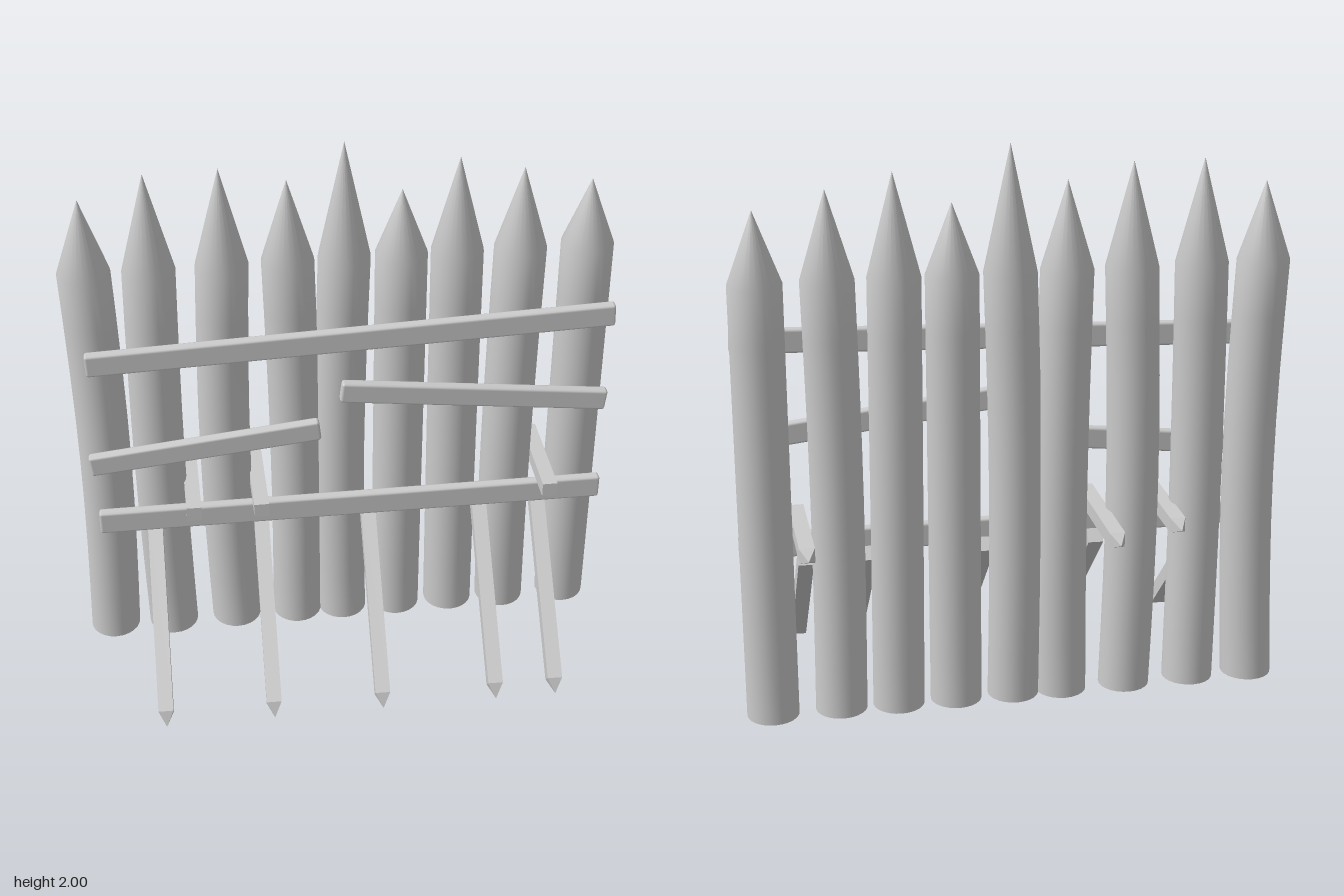
import * as THREE from 'three';
import { toCreasedNormals } from 'three/addons/utils/BufferGeometryUtils.js';
import { RoundedBoxGeometry } from 'three/addons/geometries/RoundedBoxGeometry.js';

const wood = new THREE.MeshStandardMaterial({ color: 0xcccccc });
const flatWood = new THREE.MeshStandardMaterial({ color: 0xcccccc, flatShading: true });
const lathePoints = (pairs) => pairs.map(([r, y]) => new THREE.Vector2(r, y));

// Sharpened log: straight at the shoulder, bowed slightly below it
function post({ x, z, tip, bow, lean, bowZ }) {
  const shoulder = 1.565, r = 0.092, profile = [[0, 0]];
  for (let i = 0; i <= 8; i++) profile.push([r, (shoulder * i) / 8]);
  profile.push([0, tip]);
  const geo = new THREE.LatheGeometry(lathePoints(profile), 24);
  const p = geo.attributes.position;
  for (let i = 0; i < p.count; i++) {
    const t = Math.min(p.getY(i) / shoulder, 1);
    const s = Math.sin(Math.PI * t);
    p.setX(i, p.getX(i) + bow * s + lean * (1 - t));
    p.setZ(i, p.getZ(i) + bowZ * s);
  }
  const mesh = new THREE.Mesh(toCreasedNormals(geo, 0.45), wood);
  mesh.position.set(x, 0, z);
  return mesh;
}

// Flat board with chamfered edges between two end points
function plank(x0, y0, x1, y1, height) {
  const length = Math.hypot(x1 - x0, y1 - y0);
  const mesh = new THREE.Mesh(new RoundedBoxGeometry(length, height, 0.04, 1, 0.01), wood);
  mesh.position.set((x0 + x1) / 2, (y0 + y1) / 2, -0.045);
  mesh.rotation.z = Math.atan2(y1 - y0, x1 - x0);
  return mesh;
}

// Square stake with a pyramid point at its far end
function stake(from, to, width) {
  const dir = to.clone().sub(from), L = dir.length(), r = width / Math.SQRT2;
  const geo = new THREE.LatheGeometry(
    lathePoints([[0, 0], [r, 0], [r, L - 0.055], [0, L]]), 4, Math.PI / 4);
  const mesh = new THREE.Mesh(geo, flatWood);
  mesh.position.copy(from);
  mesh.quaternion.setFromUnitVectors(new THREE.Vector3(0, 1, 0), dir.normalize());
  return mesh;
}

export function createModel() {
  const group = new THREE.Group();
  const add = (name, mesh) => { mesh.name = name; group.add(mesh); };

  // Row of logs: x, z, tip height, sideways bow, base lean, depth bow
  [
    [-0.88, -0.17, 1.84, 0.018, 0, 0.015],
    [-0.66, -0.165, 1.925, -0.01, 0.005, 0.012],
    [-0.41, -0.173, 1.925, -0.016, 0, -0.006],
    [-0.183, -0.173, 1.87, 0.01, 0.01, -0.006],
    [0.013, -0.173, 2.0, -0.012, -0.01, -0.005],
    [0.212, -0.173, 1.81, 0, 0, 0],
    [0.408, -0.173, 1.92, 0, 0.012, -0.006],
    [0.63, -0.168, 1.87, -0.01, -0.005, 0.01],
    [0.868, -0.17, 1.81, 0, 0, 0],
  ].forEach(([x, z, tip, bow, lean, bowZ], i) =>
    add(`post${i + 1}`, post({ x, z, tip, bow, lean, bowZ })));

  // Boards nailed across the front
  add('lowerPlank', plank(-0.9, 0.59, 0.955, 0.59, 0.09));
  add('upperPlank', plank(-0.9, 1.27, 0.955, 1.34, 0.085));
  add('rightShortPlank', plank(-0.915, 0.845, -0.09, 0.935, 0.08));
  add('leftShortPlank', plank(-0.015, 1.09, 0.95, 0.98, 0.08));

  // Slanted braces with their points towards the ground
  [-0.7, -0.308, 0.09, 0.508, 0.73].forEach((x, i) =>
    add(`brace${i + 1}`, stake(
      new THREE.Vector3(x, 0.565, -0.125), new THREE.Vector3(x - 0.009, 0.016, 0.452), 0.054)));

  // Level stakes poking out through the back
  [[-0.558, 0.052, -0.365], [-0.315, 0.06, -0.455], [0.742, 0.066, -0.38]].forEach(([x, z0, z1], i) =>
    add(`throughStake${i + 1}`, stake(
      new THREE.Vector3(x, 0.665, z0), new THREE.Vector3(x, 0.655, z1), 0.054)));

  return group;
}
